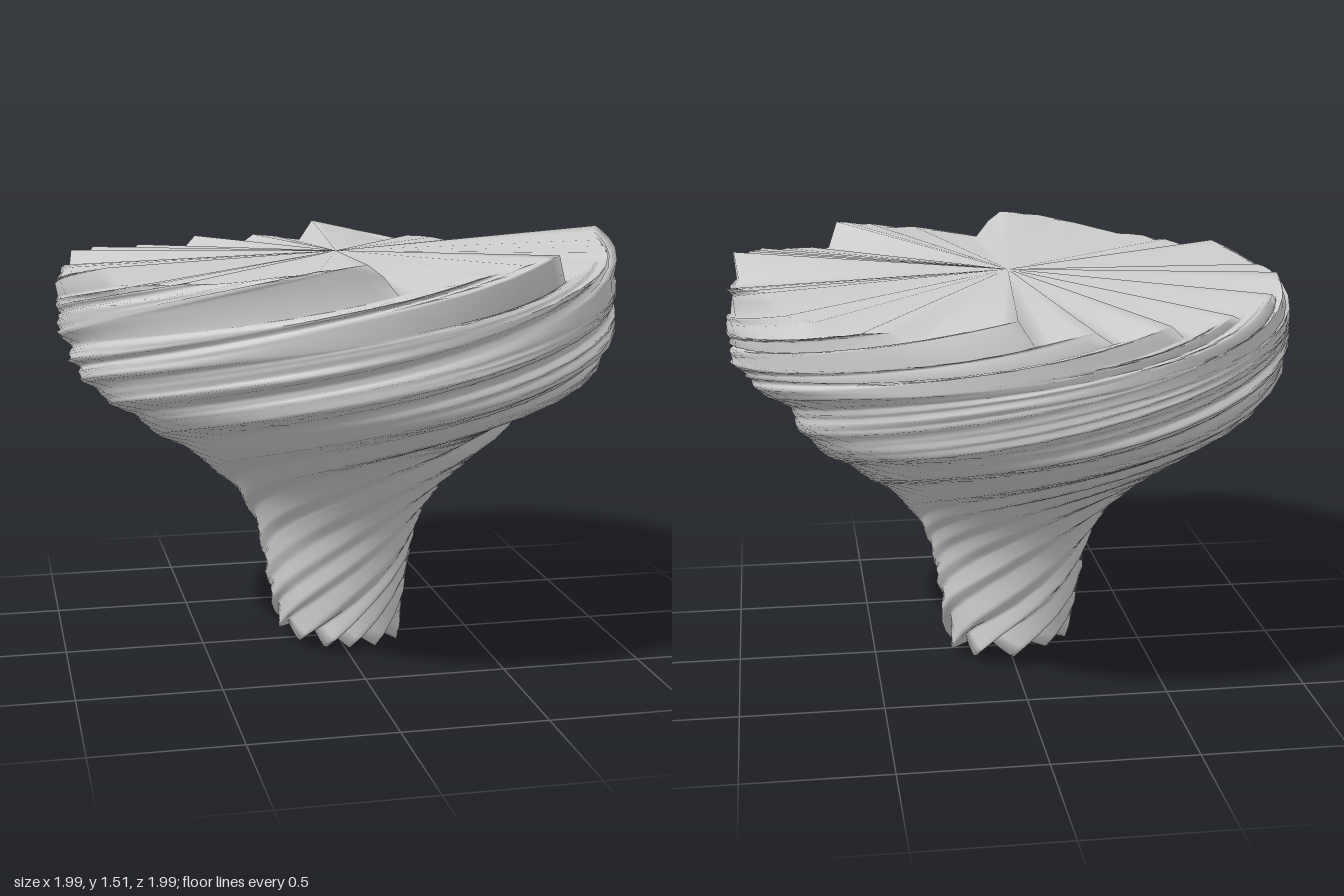
import * as THREE from 'three';

const COLS = 120, ROWS = 40, TOP = 1.44, TWIST = 5, TAU = Math.PI * 2;

// linear lookup in a short list of [key, value] pairs
function lookup(list, k) {
  for (let i = 1; i < list.length; i++) {
    const [k0, v0] = list[i - 1], [k1, v1] = list[i];
    if (k <= k1) return v0 + (v1 - v0) * (k - k0) / (k1 - k0);
  }
  return list[list.length - 1][1];
}

function seeded(seed) {
  return () => (seed = (seed * 16807) % 2147483647) / 2147483647;
}

// funnel outline: radius, height
const outline = new THREE.SplineCurve([
  [0.215, 0.06], [0.25, 0.2], [0.285, 0.4], [0.32, 0.5], [0.385, 0.6], [0.49, 0.7], [0.63, 0.8],
  [0.775, 0.9], [0.9, 1.0], [0.96, 1.1], [0.99, 1.2], [1.0, 1.3], [0.98, 1.39], [0.95, TOP],
].map(([r, y]) => new THREE.Vector2(r, y)));

// stepped rim: degrees around from the front, height
const rim = [
  [0, 1.405], [36, 1.49], [39, 1.4], [87, 1.51], [91, 1.41], [116, 1.46], [119, 1.4],
  [132, 1.41], [135, 1.37], [150, 1.41], [153, 1.37], [174, 1.465], [177, 1.38], [189, 1.41],
  [192, 1.37], [204, 1.41], [207, 1.37], [222, 1.4], [225, 1.38], [240, 1.42], [243, 1.39],
  [258, 1.44], [261, 1.39], [276, 1.42], [279, 1.4], [297, 1.445], [300, 1.4], [330, 1.44],
  [355, 1.505], [360, 1.405],
];

// uneven folds wound around the funnel, each rising slowly and falling sharply
function makeFolds() {
  const rand = seeded(421), folds = [];
  let at = 0;
  while (at < 1) {
    const width = 0.06 + rand() * 0.06;
    folds.push({ start: at, end: at + width, depth: 0.45 + rand() * 0.55 });
    at += width;
  }
  folds[folds.length - 1].end = 1;
  return (t) => {
    const f = folds.find((o) => t < o.end);
    const s = (t - f.start) / (f.end - f.start);
    const tooth = s < 0.65 ? s / 0.65 : (1 - s) / 0.35;
    return f.depth * (tooth - 0.55);
  };
}

export function createModel() {
  const group = new THREE.Group();
  group.name = 'whirlwind';
  const grey = new THREE.MeshStandardMaterial({ color: 0xcccccc });
  grey.name = 'storm grey';

  const fold = makeFolds();
  const rand = seeded(77);
  const rough = Array.from({ length: COLS }, () => rand() - 0.5);
  const points = [];
  for (let j = 0; j <= ROWS; j++) {
    const p = outline.getPoint(j / ROWS);
    const foldSize = lookup([[0, 0.24], [0.15, 0.12], [0.4, 0.06], [0.9, 0.06], [1.2, 0.04], [1.5, 0.04]], p.y);
    const nearTop = THREE.MathUtils.smoothstep(p.y, 1.15, TOP);
    const nearBase = 1 - THREE.MathUtils.smoothstep(p.y, 0.06, 0.25);
    const roughSize = 0.02 * THREE.MathUtils.smoothstep(p.y, 0.9, 1.2);
    for (let i = 0; i < COLS; i++) {
      const a = (i / COLS) * TAU, f = fold(i / COLS);
      const phi = a - (TOP - p.y) * TWIST;
      // broad hollow that follows the winding
      const hollow = 0.12 * Math.exp(-(((a - 3.85) / 0.5) ** 2) - (((p.y - 0.93) / 0.18) ** 2));
      const r = Math.min(0.995, p.x * (1 + foldSize * f) - hollow + roughSize * rough[i]);
      const y = p.y + nearTop * (lookup(rim, (i / COLS) * 360) - TOP + 0.01 * rough[i])
        + nearBase * (-0.085 * f - 0.025 * Math.cos(phi - 0.65));
      points.push(new THREE.Vector3(Math.sin(phi) * r, Math.max(0, y), Math.cos(phi) * r));
    }
  }

  // centres of the star-shaped underside and the pleated top
  const base = points.push(new THREE.Vector3(0, 0.09, 0)) - 1;
  const crown = points.push(new THREE.Vector3(0, TOP, 0)) - 1;

  // wall and both fans share their rim points, so the shading rolls over the edges
  const index = [];
  for (let i = 0; i < COLS; i++) {
    const k = (i + 1) % COLS, last = ROWS * COLS;
    for (let j = 0; j < last; j += COLS) {
      const a = j + i, b = j + k, c = b + COLS, d = a + COLS;
      index.push(a, b, c, a, c, d);
    }
    index.push(base, k, i, crown, last + i, last + k);
  }
  const geometry = new THREE.BufferGeometry().setFromPoints(points);
  geometry.setIndex(index);
  geometry.computeVertexNormals();

  const funnel = new THREE.Mesh(geometry, grey);
  funnel.name = 'twistedFunnel';
  group.add(funnel);
  return group;
}
